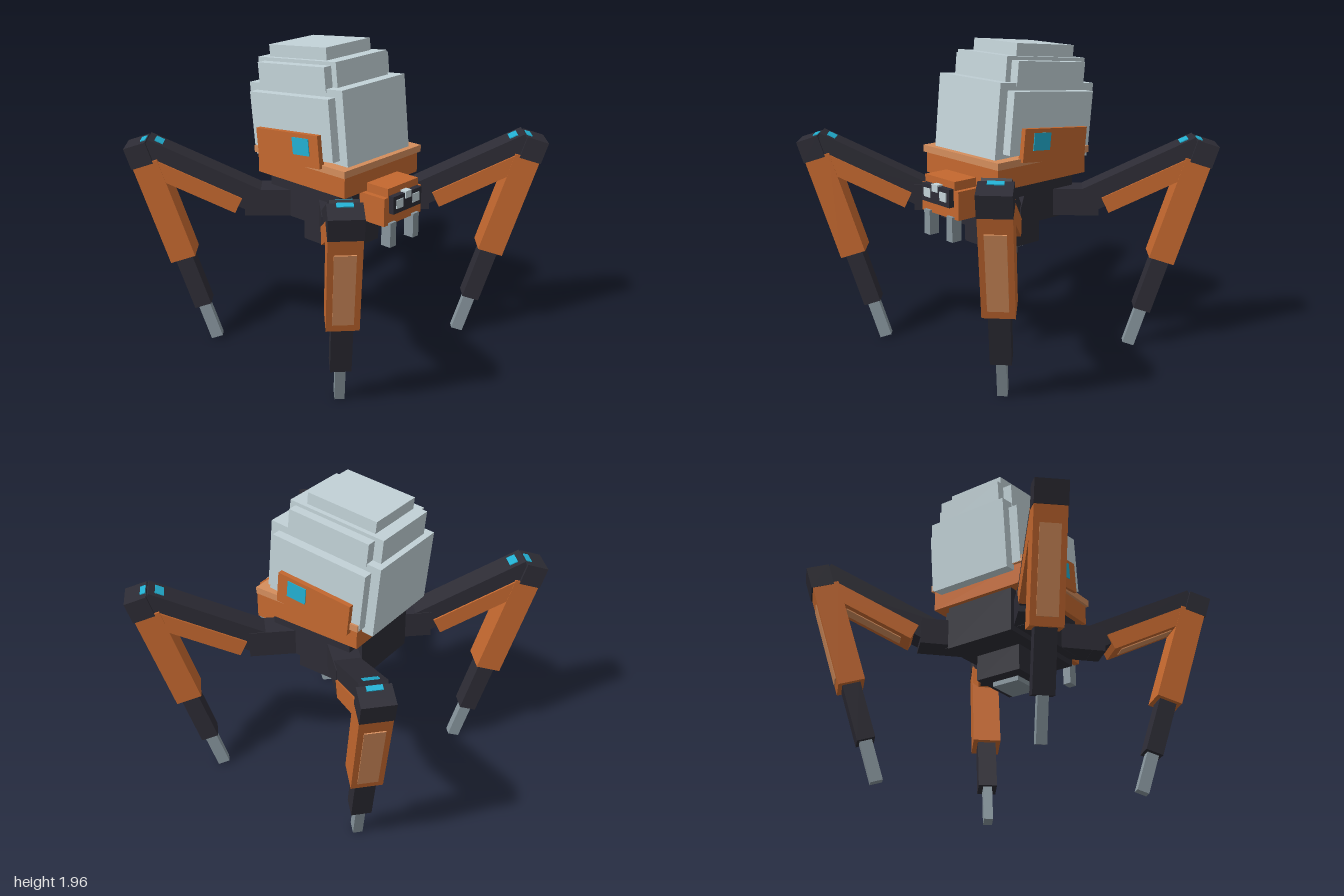
import * as THREE from 'three';

const mat = (name, color) => {
  const m = new THREE.MeshStandardMaterial({ color });
  m.name = name;
  return m;
};

export function createModel() {
  const orange = mat('orange armour', 0xc4682f);
  const tan = mat('light orange trim', 0xd48d5c);
  const dark = mat('dark metal', 0x2d2c35);
  const shell = mat('pale shell', 0xc3d3d8);
  const steel = mat('grey steel', 0x87959d);
  const cyan = mat('cyan light', 0x22b0d2);

  // Box given by its minimum and maximum corners
  const box = (parent, name, material, [x0, y0, z0], [x1, y1, z1]) => {
    const mesh = new THREE.Mesh(new THREE.BoxGeometry(x1 - x0, y1 - y0, z1 - z0), material);
    mesh.position.set((x0 + x1) / 2, (y0 + y1) / 2, (z0 + z1) / 2);
    mesh.name = name;
    parent.add(mesh);
    return mesh;
  };
  // Box centred on x, given by its width and its y and z ranges
  const slab = (parent, name, material, w, y0, y1, z0, z1) =>
    box(parent, name, material, [-w / 2, y0, z0], [w / 2, y1, z1]);
  const group = (parent, name) => {
    const g = new THREE.Group();
    g.name = name;
    parent.add(g);
    return g;
  };

  const model = new THREE.Group();
  model.name = 'fourLeggedWalker';

  // Body, from the belly plate up to the deck
  const body = group(model, 'body');
  slab(body, 'bellyPlate', steel, 0.19, 0.66, 0.70, -0.06, 0.15);
  slab(body, 'bellyBlock', dark, 0.32, 0.69, 0.87, -0.14, 0.205);
  slab(body, 'hullLong', dark, 0.48, 0.855, 1.15, -0.335, 0.335);
  slab(body, 'hullWide', dark, 0.60, 0.89, 1.15, -0.287, 0.287);
  slab(body, 'deck', orange, 0.67, 1.135, 1.27, -0.362, 0.365);
  slab(body, 'deckTrim', tan, 0.705, 1.265, 1.308, -0.378, 0.378);

  // Stepped shell, leaning back
  const dome = group(model, 'shell');
  dome.position.set(0, 1.262, -0.048);
  dome.rotation.x = -0.103;
  slab(dome, 'shellMain', shell, 0.56, 0, 0.46, -0.39, 0.39);
  slab(dome, 'shellSides', shell, 0.68, 0.04, 0.415, -0.33, 0.33);
  slab(dome, 'shellStepLong', shell, 0.45, 0.44, 0.61, -0.352, 0.304);
  slab(dome, 'shellStepWide', shell, 0.57, 0.44, 0.588, -0.295, 0.265);
  slab(dome, 'shellCap', shell, 0.39, 0.58, 0.685, -0.275, 0.205);
  for (const s of [-1, 1]) {
    const panel = box(dome, 'sidePanel', orange, [-0.02, 0, -0.27], [0.02, 0.2, 0.25]);
    panel.position.x = s * 0.352;
    const light = box(dome, 'sidePanelLight', cyan, [-0.004, 0.07, 0.04], [0.004, 0.175, 0.175]);
    light.position.x = s * 0.373;
  }

  // Head with face plate, eyes and fangs
  const head = group(model, 'head');
  slab(head, 'headBlock', orange, 0.345, 0.955, 1.13, 0.30, 0.53);
  slab(head, 'headTop', orange, 0.28, 1.12, 1.185, 0.30, 0.53);
  slab(head, 'facePlate', dark, 0.26, 1.03, 1.14, 0.52, 0.565);
  slab(head, 'middleEye', shell, 0.054, 1.105, 1.15, 0.53, 0.573);
  for (const s of [-1, 1]) {
    box(head, 'eye', shell, [-0.03, 1.06, 0.56], [0.03, 1.115, 0.571]).position.x = s * 0.075;
    box(head, 'fang', steel, [-0.027, 0.815, 0.478], [0.027, 0.97, 0.548]).position.x = s * 0.107;
  }

  // One leg, built outward along +x in its own frame
  const buildLeg = (name, x, angle) => {
    const leg = group(model, name);
    leg.position.x = x;
    leg.rotation.y = angle;
    box(leg, 'hip', dark, [0.22, 0.892, -0.085], [0.53, 1.06, 0.085]);

    // Thigh, hanging inward and down from the knee
    const thigh = group(leg, 'thigh');
    thigh.position.set(1.10, 1.38, 0);
    thigh.rotation.z = 0.445;
    box(thigh, 'thighBeam', dark, [-0.8, -0.16, -0.08], [0.01, 0, 0.08]);
    box(thigh, 'thighArmour', orange, [-0.662, -0.205, -0.092], [-0.1, -0.1, 0.092]);
    box(thigh, 'thighInlay', tan, [-0.6, -0.211, -0.045], [-0.22, -0.203, 0.045]);
    box(thigh, 'kneeLightInner', cyan, [-0.085, -0.002, -0.045], [-0.03, 0.006, 0.045]);

    // Shin, rising outward from the foot
    const shin = group(leg, 'shin');
    shin.position.set(0.745, 0.0113, 0);
    shin.rotation.z = -0.307;
    box(shin, 'foot', steel, [-0.0375, 0, -0.03], [0.0375, 0.3, 0.03]);
    box(shin, 'ankle', dark, [-0.055, 0.255, -0.062], [0.055, 0.65, 0.062]);
    box(shin, 'shinArmour', orange, [-0.081, 0.613, -0.094], [0.081, 1.284, 0.094]);
    box(shin, 'shinInlay', tan, [0.079, 0.665, -0.06], [0.088, 1.168, 0.06]);
    box(shin, 'knee', dark, [-0.05, 1.27, -0.096], [0.09, 1.41, 0.096]);
    box(shin, 'kneeLightOuter', cyan, [-0.046, 1.408, -0.045], [-0.012, 1.416, 0.045]);
  };
  const a = 47 * Math.PI / 180;
  buildLeg('frontLeftLeg', 0.07, -a);
  buildLeg('backLeftLeg', 0.07, a);
  buildLeg('frontRightLeg', -0.07, Math.PI + a);
  buildLeg('backRightLeg', -0.07, Math.PI - a);

  return model;
}
